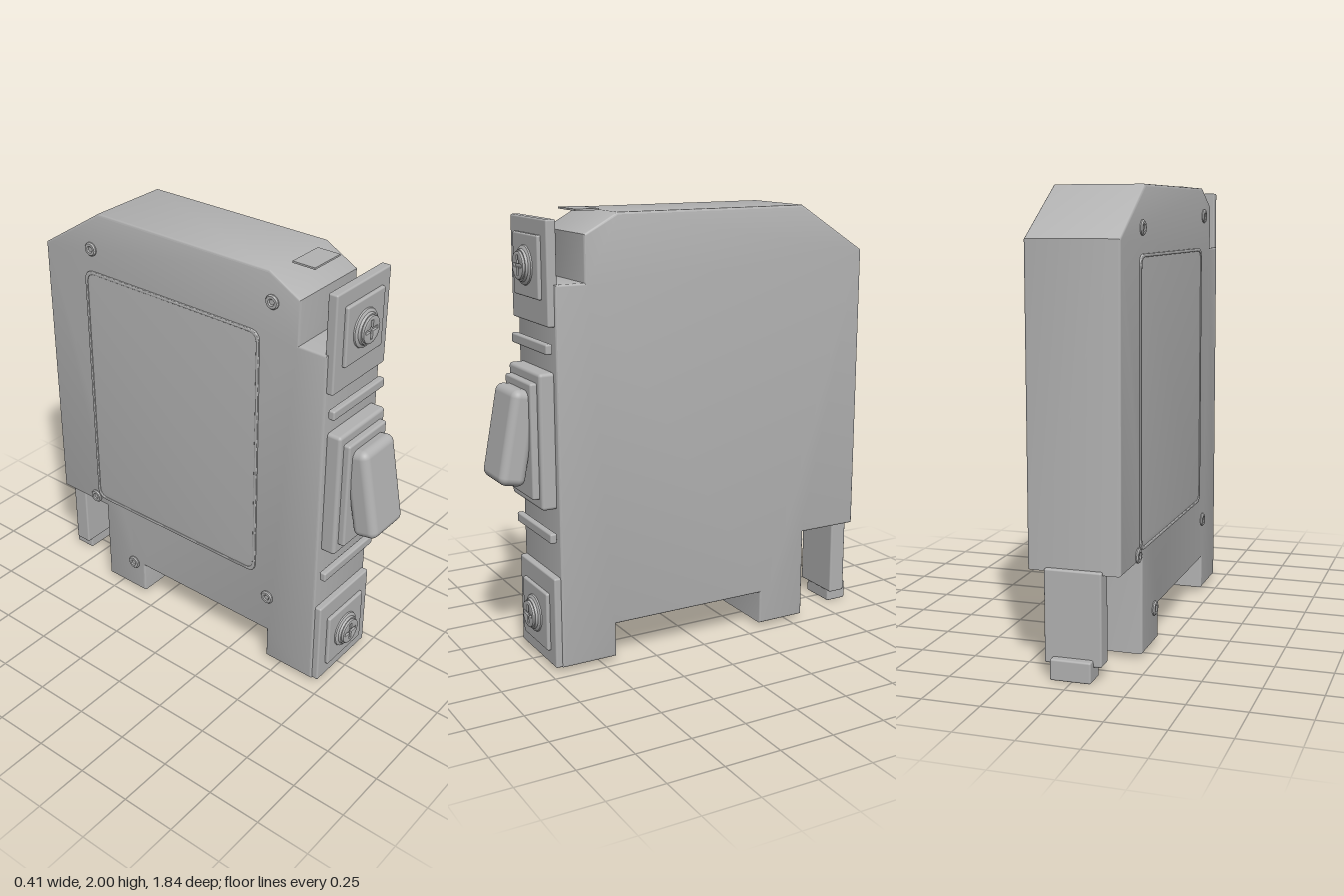
import * as THREE from 'three';
import { RoundedBoxGeometry } from 'three/addons/geometries/RoundedBoxGeometry.js';
import { toCreasedNormals } from 'three/addons/utils/BufferGeometryUtils.js';

const CX = 0.005; // the case sits slightly off centre because of the side rivets

export function createModel() {
  const model = new THREE.Group();
  model.name = 'railMountSwitch';
  const grey = new THREE.MeshStandardMaterial({ color: 0xb2b2b2 });
  grey.name = 'grey plastic';

  const add = (name, geometry, parent = model) => {
    const mesh = new THREE.Mesh(geometry, grey);
    mesh.name = name;
    parent.add(mesh);
    return mesh;
  };

  // Rounded block given by its extents
  const block = (name, x0, x1, y0, y1, z0, z1, r = 0.008) => {
    const mesh = add(name, new RoundedBoxGeometry(x1 - x0, y1 - y0, z1 - z0, 3, r));
    mesh.position.set((x0 + x1) / 2, (y0 + y1) / 2, (z0 + z1) / 2);
    return mesh;
  };

  // Side outline (z, y) extruded across x from x0 to x1 with softened edges
  const sideExtrude = (name, shape, x0, x1, bevel) => {
    const g = new THREE.ExtrudeGeometry(shape, {
      depth: x1 - x0 - 2 * bevel, bevelThickness: bevel, bevelSize: bevel,
      bevelOffset: -bevel, bevelSegments: 3, curveSegments: 8,
    });
    g.translate(0, 0, bevel - x1);
    g.rotateY(-Math.PI / 2);
    return add(name, toCreasedNormals(g, 0.6));
  };

  // Case with stepped front, chamfered top and rail cut-outs below
  const outline = [
    [0.69, 0.02], [0.69, 1.705], [0.555, 1.705], [0.555, 1.905], [0.4, 1.99],
    [-0.53, 1.99], [-0.865, 1.775], [-0.865, 0.44], [-0.575, 0.44], [-0.575, 0.02],
    [-0.335, 0.02], [-0.335, 0.175], [0.43, 0.175], [0.43, 0.02],
  ].map(([z, y]) => new THREE.Vector2(z, y));
  sideExtrude('case', new THREE.Shape(outline), -0.195, 0.205, 0.01);

  // Raised cover panel with rounded corners on the right side
  const panel = (z0, z1, y0, y1, r) => {
    const s = new THREE.Shape();
    s.moveTo(z0 + r, y0);
    s.lineTo(z1 - r, y0);
    s.quadraticCurveTo(z1, y0, z1, y0 + r);
    s.lineTo(z1, y1 - r);
    s.quadraticCurveTo(z1, y1, z1 - r, y1);
    s.lineTo(z0 + r, y1);
    s.quadraticCurveTo(z0, y1, z0, y1 - r);
    s.lineTo(z0, y0 + r);
    s.quadraticCurveTo(z0, y0, z0 + r, y0);
    return s;
  };
  const rim = panel(-0.62, 0.36, 0.48, 1.71, 0.05);
  rim.holes.push(panel(-0.606, 0.346, 0.494, 1.696, 0.045));
  sideExtrude('panelRim', rim, -0.204, -0.19, 0.003);
  sideExtrude('sidePanel', panel(-0.61, 0.35, 0.49, 1.70, 0.045), -0.2, -0.19, 0.002);

  // Side rivets: domed heads with a sunken centre
  const rivetGeo = toCreasedNormals(new THREE.LatheGeometry([
    [0.032, 0], [0.032, 0.008], [0.027, 0.014], [0.016, 0.014], [0.011, 0.009], [0, 0.009],
  ].map(([r, h]) => new THREE.Vector2(r, h)), 24), 0.6);
  rivetGeo.rotateZ(Math.PI / 2);
  for (const [z, y] of [[0.42, 1.86], [-0.58, 1.815], [0.43, 0.37], [-0.64, 0.47], [-0.4, 0.17]]) {
    add('rivet', rivetGeo).position.set(-0.192, y, z);
  }

  // Terminal screw: sloped head and a cap with a cross recess
  const headGeo = toCreasedNormals(new THREE.LatheGeometry([
    [0.086, 0], [0.083, 0.008], [0.07, 0.014], [0.066, 0.024], [0, 0.024],
  ].map(([r, h]) => new THREE.Vector2(r, h)), 32), 0.6);
  headGeo.rotateX(Math.PI / 2);
  const cap = new THREE.Shape();
  cap.absarc(0, 0, 0.06, 0, Math.PI * 2);
  const a = 0.007, b = 0.042;
  cap.holes.push(new THREE.Path([
    [a, a], [a, b], [-a, b], [-a, a], [-b, a], [-b, -a],
    [-a, -a], [-a, -b], [a, -b], [a, -a], [b, -a], [b, a],
  ].map(([x, y]) => new THREE.Vector2(x, y))));
  const capGeo = toCreasedNormals(new THREE.ExtrudeGeometry(cap, {
    depth: 0.008, bevelThickness: 0.004, bevelSize: 0.004, bevelOffset: -0.004,
    bevelSegments: 2, curveSegments: 16,
  }), 0.6);

  // Upper and lower terminals
  for (const [y0, y1, yc] of [[1.53, 1.97, 1.77], [0.02, 0.435, 0.217]]) {
    block('terminalPlate', -0.185, 0.195, y0, y1, 0.675, 0.72);
    block('terminalPad', CX - 0.133, CX + 0.133, yc - 0.133, yc + 0.133, 0.69, 0.736);
    add('screwHead', headGeo).position.set(0, yc, 0.734);
    add('screwCap', capGeo).position.set(0, yc, 0.757);
  }

  // Grip ribs above and below the switch
  for (const y of [1.438, 0.617]) {
    block('gripRib', -0.182, 0.192, y - 0.022, y + 0.022, 0.7, 0.731);
  }

  // Switch frame in two steps and the tilted rocker
  block('switchFrame', -0.163, 0.172, 0.74, 1.335, 0.68, 0.756, 0.015);
  block('switchBezel', -0.135, 0.143, 0.785, 1.292, 0.7, 0.786, 0.01);
  const rocker = add('rocker', new RoundedBoxGeometry(0.232, 0.415, 0.12, 5, 0.035));
  rocker.position.set(CX, 1.053, 0.826);
  rocker.rotation.x = -0.19;

  // Small label plate above the front chamfer
  const label = add('topLabel', new THREE.BoxGeometry(0.175, 0.008, 0.11));
  label.position.set(CX, 1.996, 0.485);

  // Rail clip hanging at the back with its pull foot
  block('railClip', -0.118, 0.128, 0.06, 0.455, -0.885, -0.803);
  block('clipFoot', -0.083, 0.093, 0.0, 0.09, -0.92, -0.815);

  return model;
}
